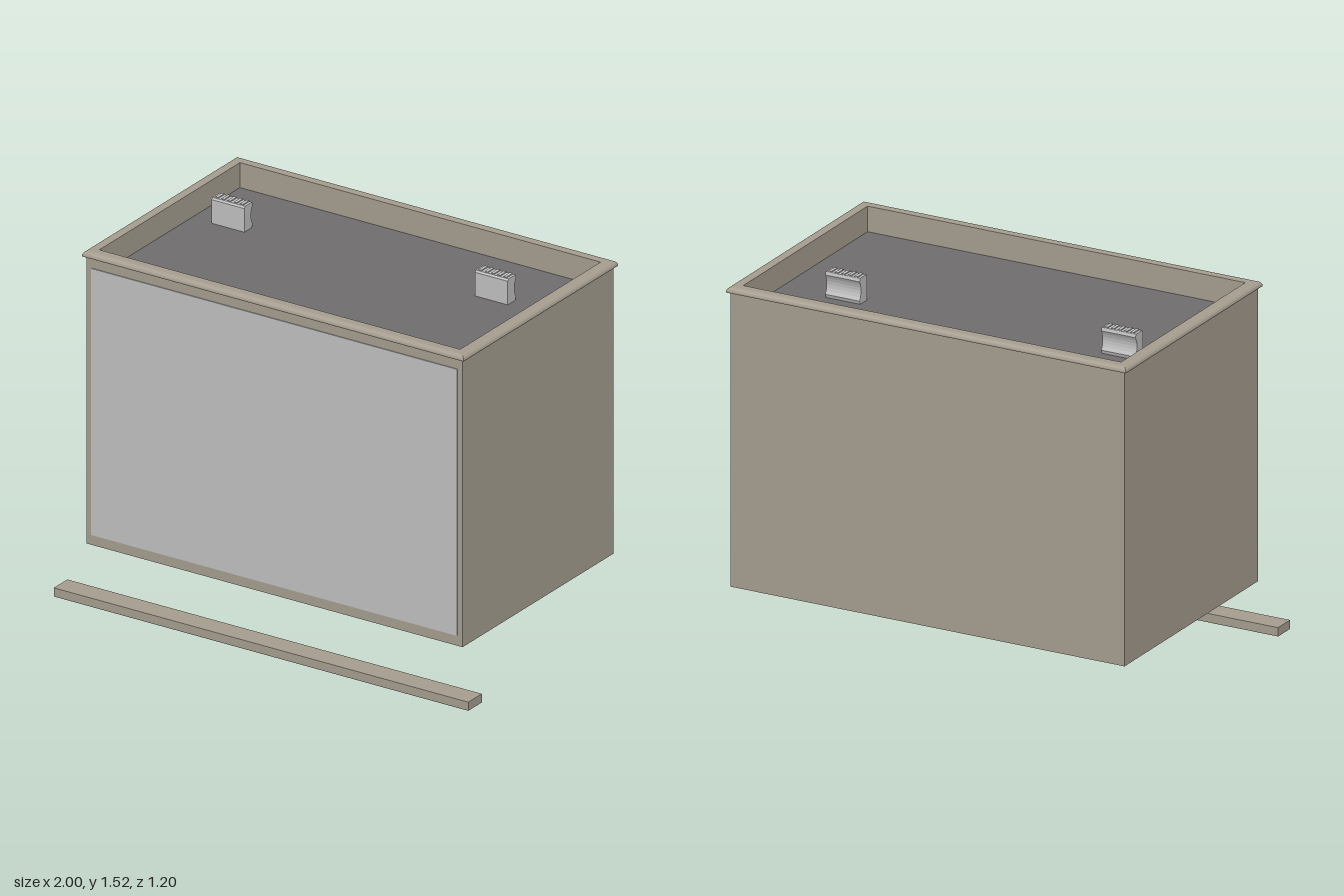
import * as THREE from 'three';

const mat = (name, color, side = THREE.FrontSide) => {
  const m = new THREE.MeshStandardMaterial({ color, side });
  m.name = name;
  return m;
};

// Cabinet footprint and heights
const HALF_X = 0.907, BACK = -0.588, FRONT = 0.503, BOTTOM = 0.22, WALL_TOP = 1.487, DECK = 1.4;
const MID_Z = (BACK + FRONT) / 2, DEPTH = FRONT - BACK, LIP = 0.037;

// Sweep a profile of [outward offset, y] points round the rectangular footprint
function rectangularSweep(profile) {
  const ring = ([o, y]) => [
    [HALF_X + o, y, FRONT + o], [HALF_X + o, y, BACK - o],
    [-HALF_X - o, y, BACK - o], [-HALF_X - o, y, FRONT + o],
  ];
  const pos = [];
  for (let i = 0; i < profile.length - 1; i++) {
    const p = ring(profile[i]), q = ring(profile[i + 1]);
    for (let k = 0; k < 4; k++) {
      const n = (k + 1) % 4;
      pos.push(...p[k], ...p[n], ...q[n], ...p[k], ...q[n], ...q[k]);
    }
  }
  const g = new THREE.BufferGeometry();
  g.setAttribute('position', new THREE.Float32BufferAttribute(pos, 3));
  g.computeVertexNormals();
  return g;
}

export function createModel() {
  const model = new THREE.Group();
  model.name = 'cabinet';
  const beige = mat('beige', 0xa69e90, THREE.DoubleSide);
  const lightGrey = mat('light grey', 0xc0c0c0);
  const darkGrey = mat('dark grey', 0x6f6d6e, THREE.DoubleSide);

  const add = (name, geometry, material, x = 0, y = 0, z = 0) => {
    const m = new THREE.Mesh(geometry, material);
    m.name = name;
    m.position.set(x, y, z);
    model.add(m);
    return m;
  };

  // Four thin outer walls, open underneath
  add('outerWalls', rectangularSweep([[0, BOTTOM], [0, WALL_TOP]]), beige);

  // Overhanging rim with softened outer edge, and the inner tray walls
  add('rim', rectangularSweep([
    [0, WALL_TOP], [0.013, WALL_TOP], [0.014, 1.493], [0.011, 1.501],
    [0.004, 1.508], [-0.004, 1.51], [-LIP, 1.51], [-LIP, DECK],
  ]), beige);

  // Recessed deck inside the rim
  const deck = new THREE.PlaneGeometry(2 * (HALF_X - LIP), DEPTH - 2 * LIP).rotateX(-Math.PI / 2);
  add('deck', deck, darkGrey, 0, DECK, MID_Z);

  // Front panel
  add('frontPanel', new THREE.BoxGeometry(1.765, 1.175, 0.004), lightGrey, 0, 0.8525, FRONT + 0.002);

  // Two small clips with a waisted back, standing on the deck
  const s = new THREE.Shape();
  s.moveTo(0.2, DECK);
  s.lineTo(0.255, DECK);
  s.lineTo(0.26, DECK + 0.015);
  s.quadraticCurveTo(0.236, DECK + 0.055, 0.26, DECK + 0.098);
  s.lineTo(0.256, DECK + 0.112);
  s.lineTo(0.206, DECK + 0.112);
  s.lineTo(0.2, DECK + 0.104);
  const clip = new THREE.ExtrudeGeometry(s, { depth: 0.158, bevelEnabled: false, curveSegments: 6 });
  clip.rotateY(Math.PI / 2);
  for (const [name, x] of [['rightClip', -0.773], ['leftClip', 0.498]]) {
    add(name, clip, lightGrey, x);
    // Fine ridges along the top
    for (let i = 0; i < 5; i++) {
      add(name + 'Ridge', new THREE.BoxGeometry(0.014, 0.005, 0.046), lightGrey, x + 0.019 + i * 0.03, DECK + 0.114, -0.231);
    }
  }

  // Separate floor strip in front, with a dark underside
  add('floorStrip', new THREE.BoxGeometry(2, 0.036, 0.098), beige, 0, 0.02, 0.552);
  add('floorStripUnderside', new THREE.BoxGeometry(2, 0.002, 0.098), darkGrey, 0, 0.001, 0.552);

  return model;
}
